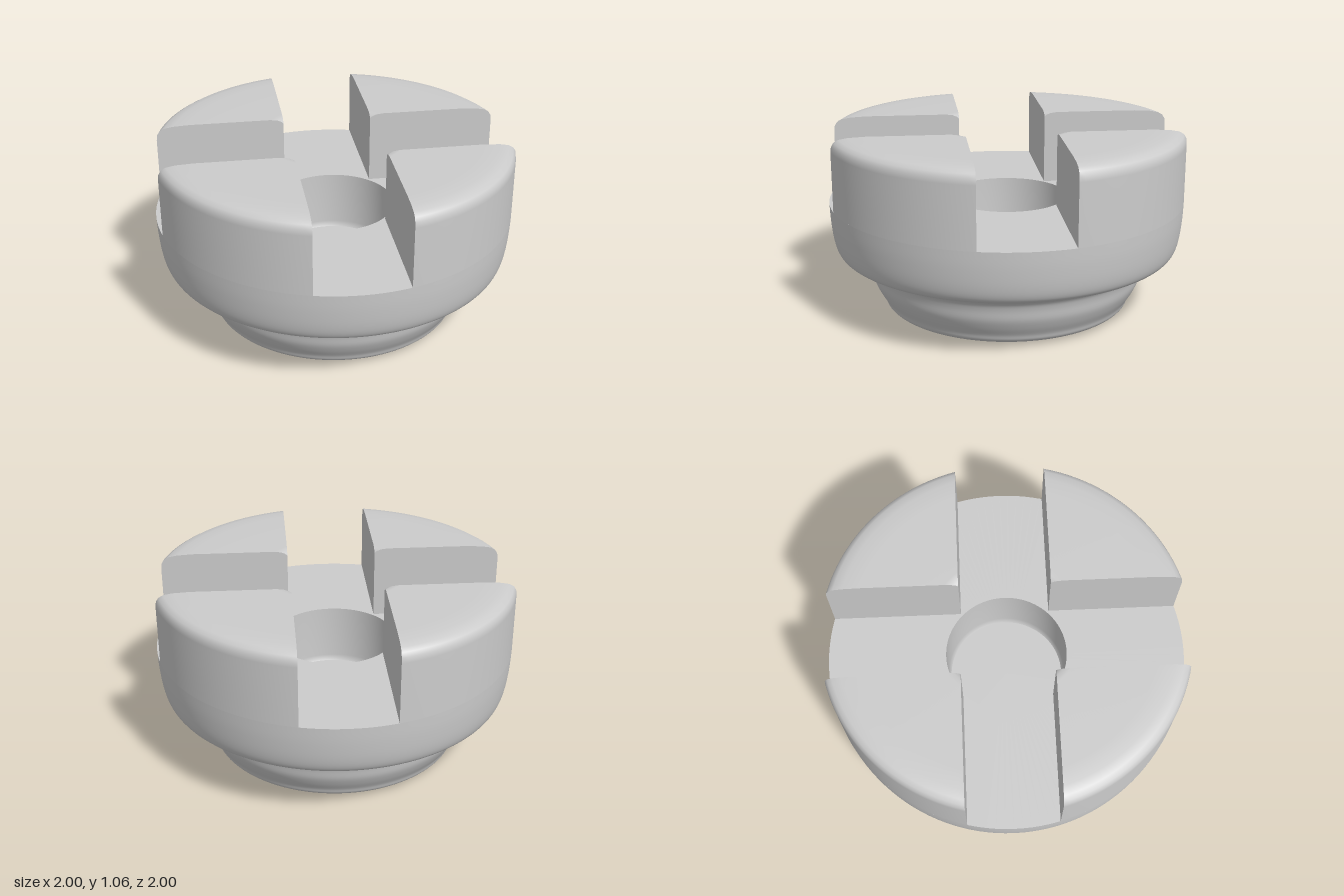
import * as THREE from 'three';

const SLOT = 0.25;            // half width of the cross slots
const FLOOR = 0.64;           // height of the slot floor
const SEGMENTS = 128;
const material = new THREE.MeshStandardMaterial({ color: 0xcccccc });

function addMesh(parent, name, geometry) {
  const mesh = new THREE.Mesh(geometry, material);
  mesh.name = name;
  parent.add(mesh);
}

const toPoints = (list) => list.map(([r, y]) => new THREE.Vector2(r, y));
const lathe = (points) => new THREE.LatheGeometry(points, SEGMENTS);

// Rounded outer skin of a prong: an arc between the two slot planes for each profile point
function prongSkin(profile) {
  const steps = 32, positions = [], index = [];
  for (const [r, y] of profile) {
    const start = Math.asin(SLOT / r), end = Math.acos(SLOT / r);
    for (let i = 0; i <= steps; i++) {
      const a = start + (end - start) * i / steps;
      positions.push(r * Math.sin(a), y, r * Math.cos(a));
    }
  }
  const row = steps + 1;
  for (let j = 0; j < profile.length - 1; j++) {
    for (let i = 0; i < steps; i++) {
      const a = j * row + i, b = a + row;
      index.push(a, a + 1, b, a + 1, b + 1, b);
    }
  }
  const geometry = new THREE.BufferGeometry();
  geometry.setAttribute('position', new THREE.Float32BufferAttribute(positions, 3));
  geometry.setIndex(index);
  geometry.computeVertexNormals();
  return geometry;
}

// Flat slot wall: the profile cut by a plane SLOT away from the axis
function prongWall(profile, sign) {
  const outline = profile.map(([r, y]) =>
    new THREE.Vector2(sign * Math.sqrt(r * r - SLOT * SLOT), y));
  outline.push(new THREE.Vector2(sign * SLOT, FLOOR));
  return new THREE.ShapeGeometry(new THREE.Shape(outline));
}

export function createModel() {
  const model = new THREE.Group();
  model.name = 'slottedCap';

  // Stepped body with a softly rounded foot and shoulder
  const side = new THREE.SplineCurve(toPoints([
    [0.6, 0.008], [0.66, 0.018], [0.695, 0.04], [0.71, 0.075], [0.74, 0.125],
    [0.765, 0.18], [0.777, 0.24], [0.793, 0.28], [0.83, 0.312], [0.89, 0.332],
    [0.942, 0.353], [0.968, 0.385], [0.985, 0.45], [0.996, 0.55], [1, FLOOR],
  ])).getPoints(60);
  addMesh(model, 'body', lathe([...toPoints([[0, 0], [0.4, 0.001]]), ...side]));

  // Slot floor and the round blind hole in its middle
  addMesh(model, 'slotFloor', lathe(toPoints([[1, FLOOR], [0.34, FLOOR]])));
  addMesh(model, 'holeWall', lathe(toPoints([[0.34, FLOOR], [0.34, 0.33], [0.325, 0.3]])));
  addMesh(model, 'holeFloor', lathe(toPoints([[0.325, 0.3], [0, 0.3]])));

  // Four prongs standing between the slots
  const profile = [
    [1, FLOOR], [1, 0.975], [0.996, 1.005], [0.983, 1.027], [0.958, 1.042],
    [0.91, 1.051], [0.82, 1.056], [0.41, 1.056], [0.38, 1.051],
    [0.363, 1.042], [SLOT * Math.SQRT2, 1.03],
  ];
  const skin = prongSkin(profile);
  const wallA = prongWall(profile, 1).rotateY(-Math.PI / 2).translate(SLOT, 0, 0);
  const wallB = prongWall(profile, -1).rotateY(Math.PI).translate(0, 0, SLOT);
  for (let i = 0; i < 4; i++) {
    const prong = new THREE.Group();
    prong.name = 'prong';
    addMesh(prong, 'prongSkin', skin);
    addMesh(prong, 'prongWall', wallA);
    addMesh(prong, 'prongWall', wallB);
    prong.rotation.y = i * Math.PI / 2;
    model.add(prong);
  }
  return model;
}
